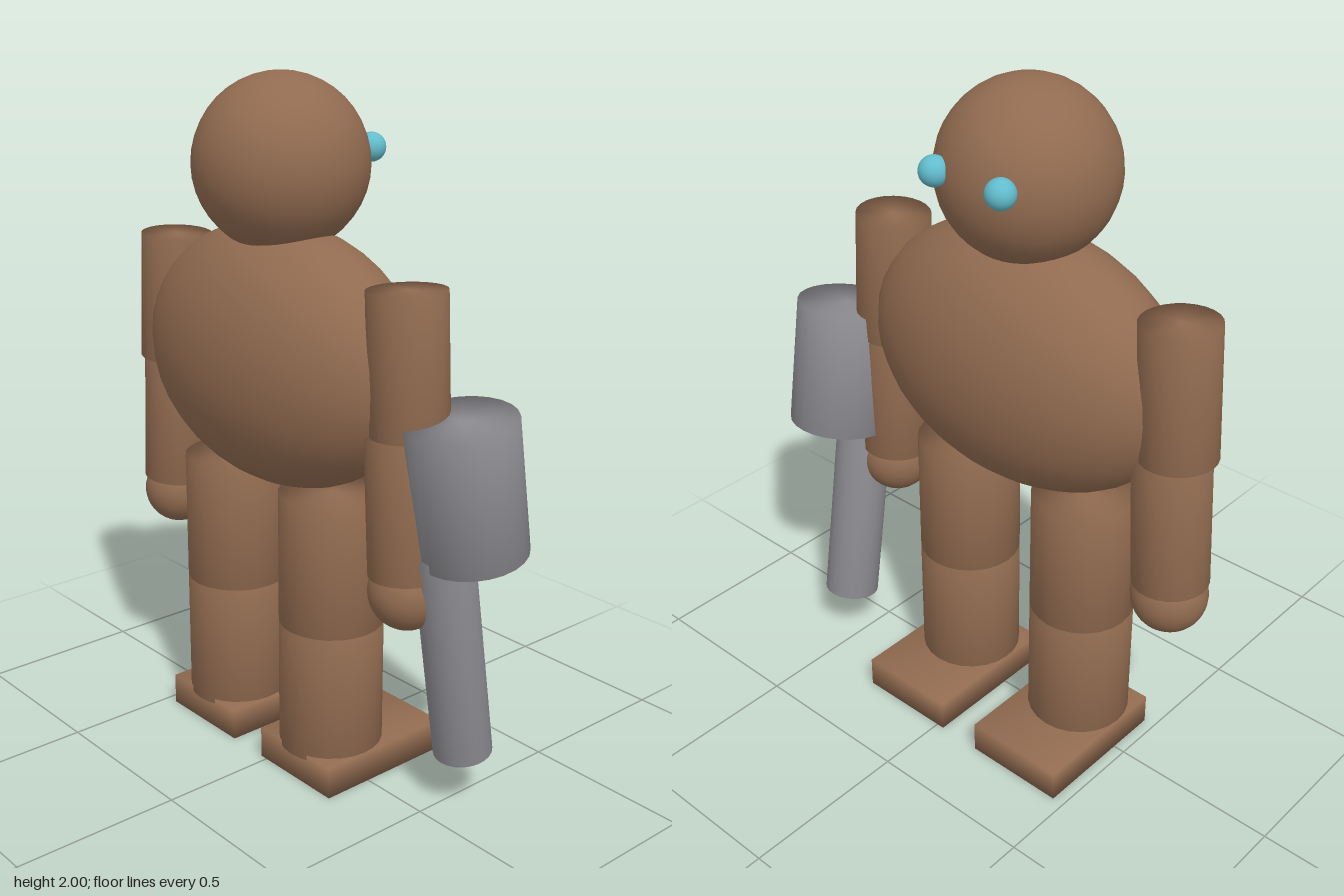
import * as THREE from 'three';
import { mergeVertices } from 'three/addons/utils/BufferGeometryUtils.js';

const brown = new THREE.MeshStandardMaterial({ name: 'brown', color: 0x916b50 });
const grey = new THREE.MeshStandardMaterial({ name: 'grey', color: 0x8c8c91 });
const cyan = new THREE.MeshStandardMaterial({ name: 'cyan', color: 0x62bccd });

// Shares corner vertices so that shading rolls softly over every edge
function soften(geometry) {
  geometry.deleteAttribute('normal');
  geometry.deleteAttribute('uv');
  const merged = mergeVertices(geometry, 1e-4);
  merged.computeVertexNormals();
  return merged;
}

const cylinder = (r, h) => soften(new THREE.CylinderGeometry(r, r, h, 24));
const ball = (r) => new THREE.SphereGeometry(r, 32, 20);

export function createModel() {
  const group = new THREE.Group();
  group.name = 'robot';

  function add(name, geometry, material, x, y, z) {
    const mesh = new THREE.Mesh(geometry, material);
    mesh.name = name;
    mesh.position.set(x, y, z);
    group.add(mesh);
    return mesh;
  }

  // The body axis sits off centre to balance the blaster
  const axis = -0.09;

  // Torso and head
  add('torso', ball(1), brown, axis, 1.215, 0.01).scale.set(0.513, 0.378, 0.271);
  add('head', ball(0.247), brown, axis, 1.753, 0.01);

  // Paired parts; the model looks towards -z
  for (const [side, s] of [['left', 1], ['right', -1]]) {
    add(side + 'Eye', ball(0.041), cyan, axis + s * 0.111, 1.787, -0.222);

    // Arm segments lean slightly outwards at the bottom
    add(side + 'UpperArm', cylinder(0.108, 0.385), brown, axis + s * 0.511, 1.295, 0.008).rotation.z = s * 0.056;
    add(side + 'Forearm', cylinder(0.108, 0.39), brown, axis + s * 0.514, 0.903, 0.008).rotation.z = s * 0.056;
    add(side + 'Hand', ball(0.108), brown, axis + s * 0.525, 0.66, 0.008);

    // Leg and foot
    add(side + 'Thigh', cylinder(0.152, 0.39), brown, axis + s * 0.22, 0.665, 0.012);
    add(side + 'Shin', cylinder(0.152, 0.39), brown, axis + s * 0.22, 0.275, 0.012);
    add(side + 'Foot', soften(new THREE.BoxGeometry(0.308, 0.095, 0.438)), brown, axis + s * 0.22, 0.0475, -0.067);
  }

  // Blaster hanging beside the left arm, barrel pointing down and forward
  add('blasterBody', cylinder(0.153, 0.387), grey, 0.57, 0.976, -0.069).rotation.x = 0.163;
  add('blasterBarrel', cylinder(0.084, 0.64), grey, 0.535, 0.483, -0.076).rotation.x = 0.16;

  return group;
}
